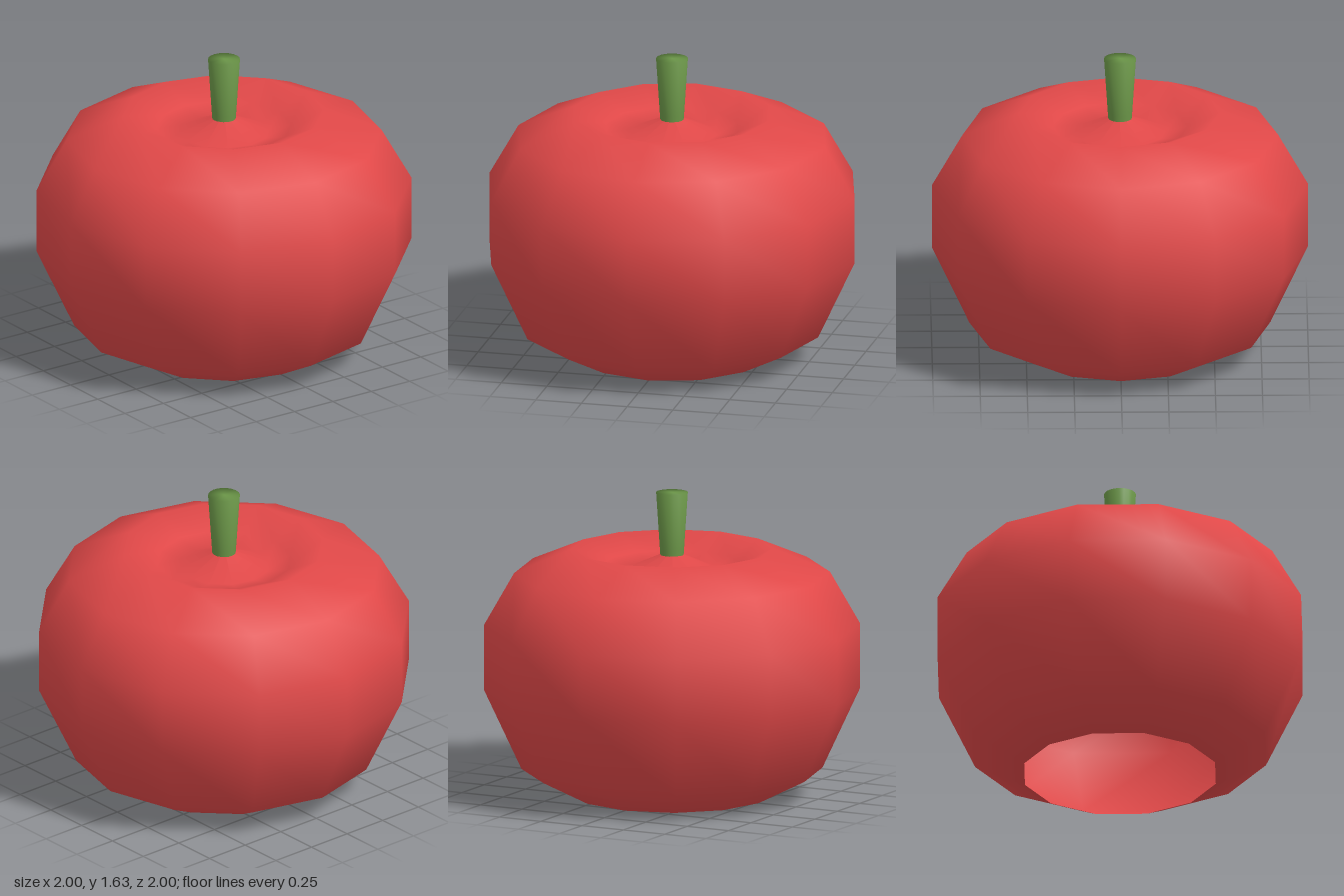
import * as THREE from 'three';

const red = new THREE.MeshStandardMaterial({ color: 0xe04848, side: THREE.DoubleSide });
red.name = 'appleRed';
const green = new THREE.MeshStandardMaterial({ color: 0x6b9648 });
green.name = 'stemGreen';

// Smooth solid of revolution from [radius, height] pairs, listed bottom to top
function turned(name, profile, sides, material) {
  const points = profile.map(([r, y]) => new THREE.Vector2(r, y));
  const mesh = new THREE.Mesh(new THREE.LatheGeometry(points, sides), material);
  mesh.name = name;
  return mesh;
}

export function createModel() {
  const apple = new THREE.Group();
  apple.name = 'apple';

  // Twelve-sided hollow body, open underneath, with a ring-shaped dip around the stem
  apple.add(turned('body', [
    [0.525, 0], [0.8, 0.14], [1, 0.57], [1, 0.92], [0.84, 1.2],
    [0.535, 1.33], [0.36, 1.25], [0.24, 1.22], [0, 1.325],
  ], 12, red));

  // Stem flares towards its flat top
  apple.add(turned('stem', [
    [0.057, 1.22], [0.065, 1.33], [0.085, 1.635], [0, 1.635],
  ], 20, green));

  return apple;
}
